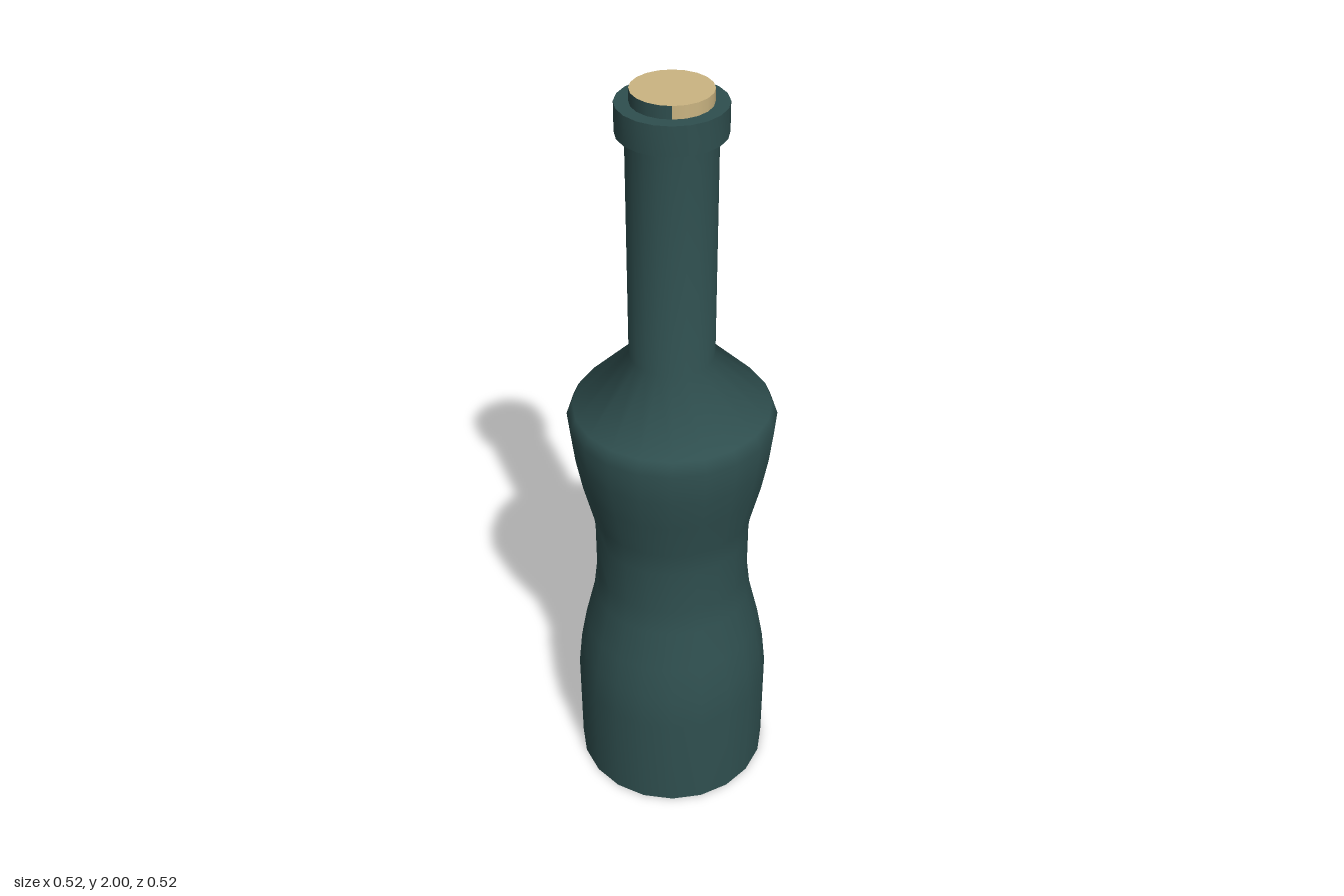
import * as THREE from 'three';
import { toCreasedNormals } from 'three/addons/utils/BufferGeometryUtils.js';

const SIDES = 20;

export function createModel() {
  const bottle = new THREE.Group();
  bottle.name = 'bottle';

  const glass = new THREE.MeshStandardMaterial({ color: 0x2f4f4f, side: THREE.DoubleSide });
  glass.name = 'dark green glass';
  const corkTan = new THREE.MeshStandardMaterial({ color: 0xcbb582, side: THREE.DoubleSide });
  corkTan.name = 'cork tan';

  const add = (name, geometry, material) => {
    const mesh = new THREE.Mesh(geometry, material);
    mesh.name = name;
    bottle.add(mesh);
    return mesh;
  };
  const lathe = (points) =>
    new THREE.LatheGeometry(points.map(([r, y]) => new THREE.Vector2(r, y)), SIDES);

  // Waisted body, sloping shoulder and straight neck, open underneath
  add('body', lathe([
    [0.26, 0], [0.26, 0.29], [0.25, 0.39], [0.234, 0.48], [0.208, 0.59], [0.2, 0.66],
    [0.2, 0.79], [0.208, 0.86], [0.234, 0.97], [0.25, 1.06], [0.26, 1.15], [0.245, 1.185],
    [0.104, 1.33], [0.104, 1.9],
  ]), glass);

  // Square-edged collar around the mouth
  add('collar', toCreasedNormals(lathe([
    [0.093, 1.9], [0.126, 1.9], [0.126, 1.97], [0.093, 1.97],
  ]), 0.6), glass);

  // Stopper: the wall is half cork, half green lip
  const radius = 0.093, height = 0.1, split = THREE.MathUtils.degToRad(126);
  const wall = (start) =>
    new THREE.CylinderGeometry(radius, radius, height, SIDES / 2, 1, true, start, Math.PI);
  add('corkWall', wall(split - Math.PI), corkTan).position.y = 1.95;
  add('lipWall', wall(split), glass).position.y = 1.95;

  // Cork end discs
  for (const [name, y, turn] of [['corkTop', 2, -1], ['corkBottom', 1.9, 1]]) {
    const disc = add(name, new THREE.CircleGeometry(radius, SIDES), corkTan);
    disc.rotation.x = turn * Math.PI / 2;
    disc.position.y = y;
  }

  return bottle;
}
